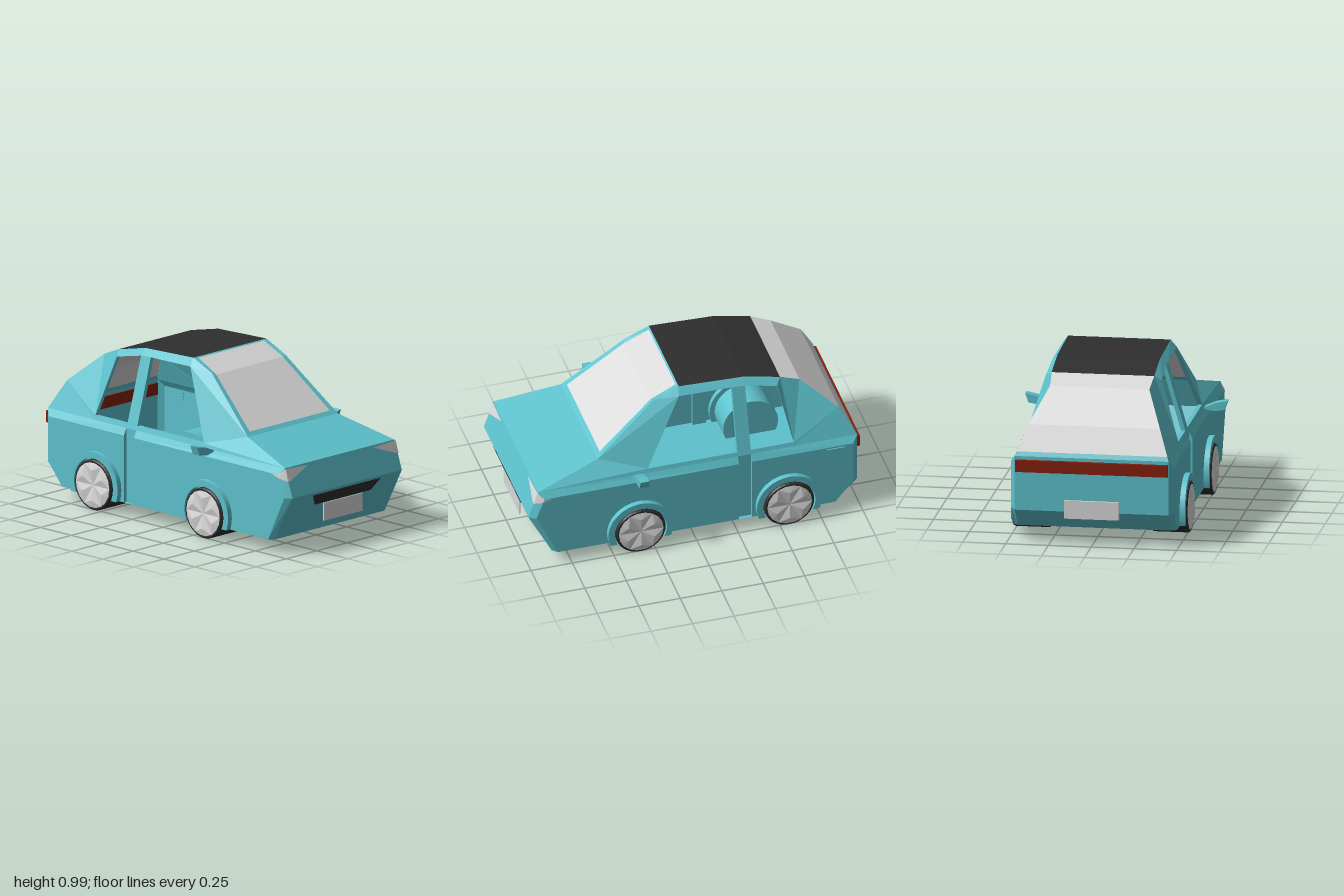
import * as THREE from 'three';

const mat = (name, color) => {
  const m = new THREE.MeshStandardMaterial({ color, side: THREE.DoubleSide });
  m.name = name;
  return m;
};

const flip = ([x, y, z]) => [-x, y, z];

// Flat polygons fanned into triangles, each turned to face away from `centre`
function panels(name, material, polys, { mirror = false, centre = [0, 0.45, 0] } = {}) {
  const all = mirror ? [...polys, ...polys.map(p => p.map(flip))] : polys;
  const pos = [];
  const mid = new THREE.Vector3(...centre);
  for (const poly of all) {
    const v = poly.map(p => new THREE.Vector3(...p));
    for (let i = 1; i < v.length - 1; i++) {
      const t = new THREE.Triangle(v[0], v[i], v[i + 1]);
      const out = t.getMidpoint(new THREE.Vector3()).sub(mid);
      const order = t.getNormal(new THREE.Vector3()).dot(out) < 0 ? [t.a, t.c, t.b] : [t.a, t.b, t.c];
      order.forEach(p => pos.push(p.x, p.y, p.z));
    }
  }
  const g = new THREE.BufferGeometry();
  g.setAttribute('position', new THREE.Float32BufferAttribute(pos, 3));
  g.computeVertexNormals();
  const mesh = new THREE.Mesh(g, material);
  mesh.name = name;
  return mesh;
}

// Panel spanning the car between a point and its mirror image
const across = (a, b) => [a, b, flip(b), flip(a)];

function box(name, material, w, h, d, x, y, z) {
  const mesh = new THREE.Mesh(new THREE.BoxGeometry(w, h, d), material);
  mesh.position.set(x, y, z);
  mesh.name = name;
  return mesh;
}

// Half disc or half ring cut off level with the floor, extruded towards -x
function archGeometry(outer, inner, depth) {
  const cut = r => Math.asin(0.07 / r);
  const s = new THREE.Shape();
  s.absarc(0, 0, outer, -cut(outer), Math.PI + cut(outer), false);
  if (inner) s.absarc(0, 0, inner, Math.PI + cut(inner), -cut(inner), true);
  return new THREE.ExtrudeGeometry(s, { depth, bevelEnabled: false, curveSegments: 24 }).rotateY(-Math.PI / 2);
}

export function createModel() {
  const car = new THREE.Group();
  car.name = 'car';
  const paint = mat('teal paint', 0x5dc2cd);
  const glass = mat('light grey', 0xdadada);
  const black = mat('black', 0x2e2e2e);
  const red = mat('tail red', 0x86200c);

  // Upper edge of the side, from nose to tail
  const E = [[0.45, 0.52, 0.94], [0.37, 0.62, 0.56], [0.3, 0.92, 0.2], [0.3, 0.985, 0.05], [0.3, 0.97, -0.34],
    [0.3, 0.92, -0.56], [0.29, 0.87, -0.68], [0.385, 0.69, -0.89], [0.45, 0.52, -0.98]];
  // End faces at x = 0.45 and the slightly shorter side panel at x = 0.477
  const L = [E[0], [0.45, 0.35, 1], [0.45, 0.08, 0.86], [0.45, 0.08, -0.86], [0.45, 0.2, -0.98], E[8]];
  const S = [[0.477, 0.48, 0.91], [0.477, 0.35, 0.96], [0.477, 0.08, 0.83],
    [0.477, 0.08, -0.84], [0.477, 0.21, -0.95], [0.477, 0.48, -0.95]];

  // Lower body: floor, nose and tail bands, corner chamfers
  const bands = [], chamfers = [];
  for (let i = 0; i < 5; i++) {
    bands.push(across(L[i], L[i + 1]));
    chamfers.push([L[i], L[i + 1], S[i + 1], S[i]]);
  }
  car.add(panels('lowerBody', paint, bands));
  car.add(panels('bodyCorners', paint, chamfers, { mirror: true }));

  // Side panels either side of the recessed door pillar
  const z1 = -0.26, z2 = -0.34;
  const belt = z => [0.455, 0.52, z];
  const top = z => [0.477, 0.48, z], low = z => [0.477, 0.08, z], recess = z => [0.455, 0.08, z];
  car.add(panels('sidePanels', paint, [
    [S[0], S[1], S[2], low(z1), top(z1)],
    [top(z2), low(z2), S[3], S[4], S[5]],
    [E[0], S[0], top(z1), belt(z1), belt(0.28)],
    [belt(z2), top(z2), S[5], E[8], belt(-0.6)],
    [belt(z1), recess(z1), recess(z2), belt(z2)],
    ...[z1, z2].map(z => [belt(z), top(z), low(z), recess(z)]),
  ], { mirror: true }));

  // Cabin sides around the two open windows
  const F = [[0.447, 0.545, 0.28], [0.335, 0.94, 0.06], [0.335, 0.935, z1], [0.447, 0.545, z1]];
  const R = [[0.447, 0.545, z2], [0.335, 0.93, z2], [0.34, 0.89, -0.53], [0.447, 0.545, -0.6]];
  car.add(panels('cabinSides', paint, [
    [E[0], belt(0.28), F[0], E[1]], [E[1], F[0], F[1], E[2]], [E[2], F[1], E[3]],
    [E[3], F[1], F[2]], [E[3], F[2], E[4]], [F[2], R[1], E[4]], [E[4], R[1], R[2], E[5]],
    [E[5], R[2], R[3], E[6]], [E[6], R[3], E[7]], [E[7], R[3], belt(-0.6), E[8]],
    [belt(0.28), belt(z1), F[3], F[0]], [belt(z1), belt(z2), R[0], F[3]],
    [F[3], R[0], R[1], F[2]], [belt(z2), belt(-0.6), R[3], R[0]],
  ], { mirror: true }));

  // Window frame depth
  const inward = ([x, y, z]) => [x - 0.025, y, z];
  const reveals = [F, R].flatMap(w => w.map((p, i) => {
    const q = w[(i + 1) % 4];
    return [p, q, inward(q), inward(p)];
  }));
  car.add(panels('windowFrames', paint, reveals, { mirror: true }));

  // Bonnet, windscreen with its surround, roof and rear window
  const G = [[0.33, 0.64, 0.535], [0.275, 0.91, 0.21], [0.27, 0.98, 0.06]];
  car.add(panels('bonnet', paint, [across(E[0], E[1])]));
  car.add(panels('windscreenFrame', paint, [across(E[1], G[0]), across(G[2], E[3])]));
  car.add(panels('windscreenPillars', paint,
    [[E[1], G[0], G[1], E[2]], [E[2], G[1], G[2], E[3]]], { mirror: true }));
  car.add(panels('windscreen', glass, [across(G[0], G[1]), across(G[1], G[2])]));
  car.add(panels('roof', black, [across(E[3], E[4]), across(E[4], E[5])]));
  const sill = [0.44, 0.545, -0.967];
  car.add(panels('rearWindow', glass, [across(E[5], E[6]), across(E[6], E[7]), across(E[7], sill)]));
  car.add(panels('rearWindowSill', paint, [across(sill, E[8])]));

  // Headlights wrapping round the corner
  car.add(panels('headlights', glass, [
    [[0.27, 0.508, 0.949], [0.44, 0.445, 0.971], [0.453, 0.516, 0.947]],
    [[0.453, 0.516, 0.947], [0.44, 0.445, 0.971], [0.455, 0.445, 0.968], [0.481, 0.46, 0.922], [0.481, 0.482, 0.913]],
    [[0.481, 0.46, 0.922], [0.481, 0.479, 0.86], [0.481, 0.482, 0.913]],
  ], { mirror: true }));

  // Grille, tail light bar and number plates
  car.add(panels('grille', black, [across([0.28, 0.335, 0.998], [0.23, 0.265, 0.963])]));
  car.add(box('tailLightBar', red, 0.89, 0.07, 0.03, 0, 0.465, -0.985));
  car.add(box('frontPlate', glass, 0.32, 0.107, 0.006, 0, 0.209, 0.965));
  car.add(box('rearPlate', glass, 0.32, 0.107, 0.025, 0, 0.215, -0.98));

  // Fuel flap on the left side only
  const flap = new THREE.Shape([[0.79, 0.47], [0.9, 0.47], [0.895, 0.42], [0.8, 0.42]]
    .map(([z, y]) => new THREE.Vector2(-z, y)));
  const flapMesh = new THREE.Mesh(
    new THREE.ExtrudeGeometry(flap, { depth: 0.01, bevelEnabled: false }).rotateY(-Math.PI / 2), paint);
  flapMesh.position.x = 0.484;
  flapMesh.name = 'fuelFlap';
  car.add(flapMesh);

  // Door mirrors
  for (const s of [1, -1]) {
    const shape = new THREE.Shape([[0.44, 0.515], [0.52, 0.55], [0.592, 0.565], [0.572, 0.51], [0.51, 0.5]]
      .map(([x, y]) => new THREE.Vector2(s * x, y)));
    const m = new THREE.Mesh(new THREE.ExtrudeGeometry(shape, { depth: 0.055, bevelEnabled: false }), paint);
    m.position.z = 0.312;
    m.name = s > 0 ? 'leftMirror' : 'rightMirror';
    car.add(m);
  }

  // Wheels with faceted rims, arch lips and inner wheel housings
  const tyreGeo = new THREE.LatheGeometry(
    [[0, 0.285], [0.13, 0.285], [0.15, 0.305], [0.15, 0.505], [0.143, 0.514], [0, 0.51]]
      .map(p => new THREE.Vector2(...p)), 32).toNonIndexed().rotateZ(-Math.PI / 2);
  tyreGeo.computeVertexNormals();
  const rimPoint = (r, a, x) => [x, r * Math.sin(a), r * Math.cos(a)];
  const blades = [];
  const hub = [0.513, 0, 0], step = Math.PI / 3;
  for (let i = 0; i < 6; i++) {
    const a = i * step;
    const edge = [0, 1, 2, 3].map(k => rimPoint(0.135, a + k * step / 3, 0.515));
    const peak = rimPoint(0.09, a + step / 2, 0.526);
    blades.push([hub, edge[0], peak], [edge[3], hub, peak]);
    for (let k = 0; k < 3; k++) blades.push([edge[k], edge[k + 1], peak]);
  }
  const lipGeo = archGeometry(0.195, 0.157, 0.06);
  const housingGeo = archGeometry(0.165, 0, 0.2);

  for (const [end, z] of [['front', 0.34], ['rear', -0.555]]) {
    for (const s of [1, -1]) {
      const side = s > 0 ? 'Left' : 'Right';
      const wheel = new THREE.Group();
      wheel.name = `${end}${side}Wheel`;
      const tyre = new THREE.Mesh(tyreGeo, black);
      tyre.name = 'tyre';
      wheel.add(tyre, panels('rim', glass, blades, { centre: [0, 0, 0] }));
      wheel.position.set(0, 0.15, z);
      if (s < 0) wheel.rotation.y = Math.PI;
      const lip = new THREE.Mesh(lipGeo, paint);
      lip.name = `${end}${side}ArchLip`;
      lip.position.set(s > 0 ? 0.508 : -0.448, 0.15, z);
      const housing = new THREE.Mesh(housingGeo, paint);
      housing.name = `${end}${side}WheelHousing`;
      housing.position.set(s > 0 ? 0.474 : -0.274, 0.152, z);
      car.add(wheel, lip, housing);
    }
  }
  return car;
}
